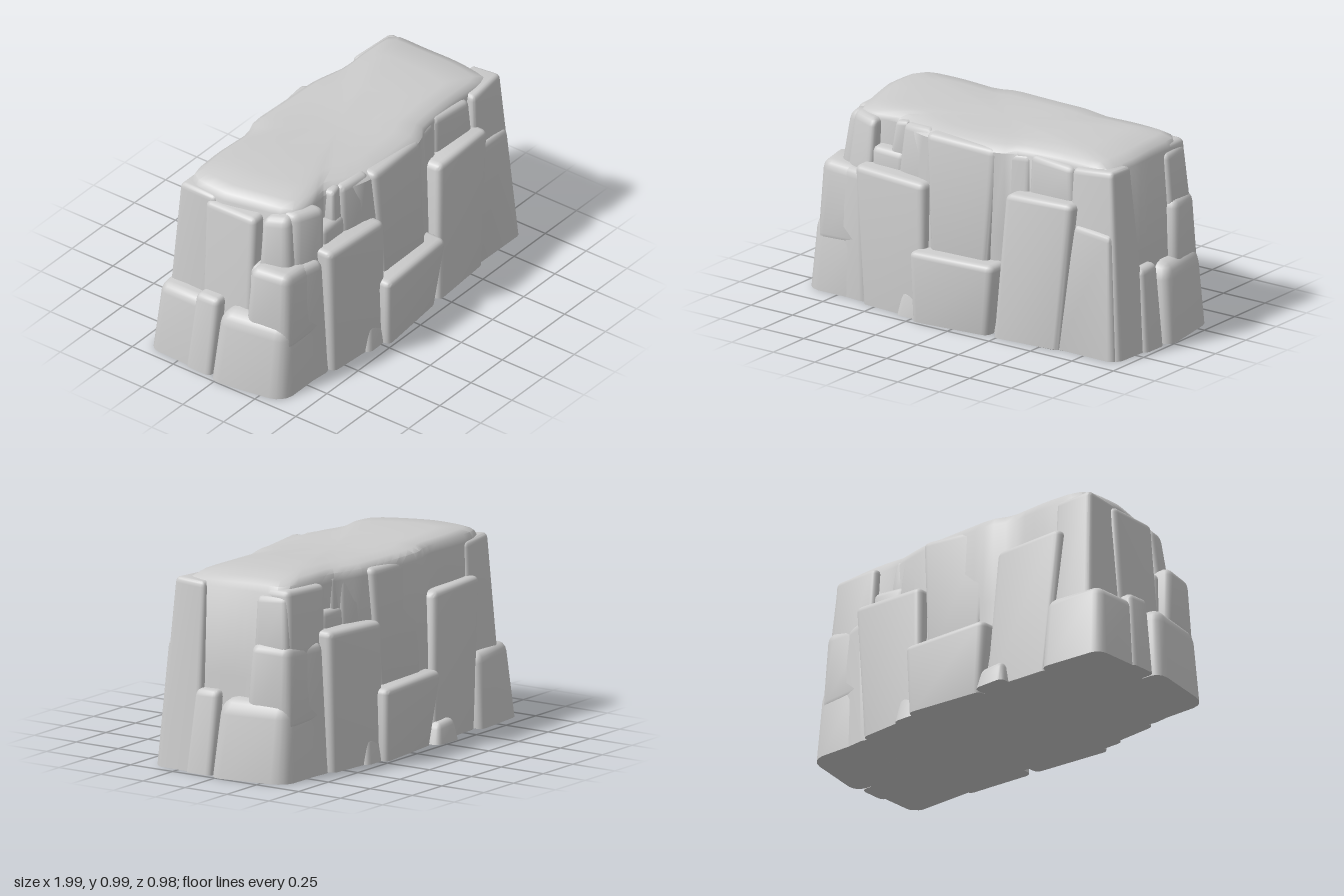
import * as THREE from 'three';
import { RoundedBoxGeometry } from 'three/addons/geometries/RoundedBoxGeometry.js';
import { toCreasedNormals } from 'three/addons/utils/BufferGeometryUtils.js';

const material = new THREE.MeshStandardMaterial({ color: 0xcccccc });
const FLOOR = 0.01;
const lerp = THREE.MathUtils.lerp;

// Smooth position-based wobble, so shared corners stay joined
const wobble = (a, b, c) => Math.sin(a * 7.3 + b * 5.1 + 1.7) * Math.sin(c * 8.7 + a * 3.1 + 0.4);

// Worn stone block: bottom and top footprints [x0, x1, z0, z1] between y0 and y1.
// skewZ slants its front along x, skewX slants its ends along z.
function stone(name, y0, y1, bottom, top, { round = 0.032, skewZ = 0, skewX = 0 } = {}) {
  const low = y0 <= 0 ? -round : y0;
  const w = bottom[1] - bottom[0], h = y1 - low, d = bottom[3] - bottom[2];
  const geo = new RoundedBoxGeometry(w, h, d, 2, Math.min(round, w / 4, h / 4, d / 4));
  const p = geo.attributes.position;
  for (let i = 0; i < p.count; i++) {
    const u = p.getX(i) / w + 0.5, v = p.getY(i) / h + 0.5, s = p.getZ(i) / d + 0.5;
    const x = lerp(lerp(bottom[0], bottom[1], u), lerp(top[0], top[1], u), v) + skewX * (s - 0.5);
    const z = lerp(lerp(bottom[2], bottom[3], s), lerp(top[2], top[3], s), v) + skewZ * (u - 0.5);
    const y = low + v * h;
    p.setXYZ(i,
      x + 0.012 * wobble(y, z, x),
      Math.max(FLOOR, y + 0.015 * wobble(x, z, y)),
      z + 0.012 * wobble(x, y, z));
  }
  const mesh = new THREE.Mesh(toCreasedNormals(geo, 0.7), material);
  mesh.name = name;
  return mesh;
}

// Solid heart of the rock with its gently rolling plateau, lofted from scaled outlines
function core() {
  const outline = new THREE.CatmullRomCurve3([
    [-0.74, 0.2], [-0.71, 0.26], [-0.62, 0.29], [-0.47, 0.27], [-0.38, 0.32], [-0.2, 0.37], [0.18, 0.36],
    [0.3, 0.31], [0.55, 0.3], [0.82, 0.3], [0.85, 0.1], [0.84, -0.1], [0.84, -0.25], [0.8, -0.3],
    [0.62, -0.31], [0.45, -0.31], [0.25, -0.36], [-0.2, -0.38], [-0.32, -0.34],
    [-0.55, -0.35], [-0.75, -0.34], [-0.8, -0.29], [-0.81, -0.1], [-0.77, 0.08],
  ].map(([x, z]) => new THREE.Vector3(x, 0, z)), true, 'catmullrom', 0.2).getSpacedPoints(72).slice(0, 72);
  // [height, x scale, z scale]
  const rings = [[FLOOR, 0, 0], [FLOOR, 1.08, 1.08], [0.5, 1.03, 1.04], [0.925, 0.99, 0.99],
    [0.95, 0.965, 0.955], [0.97, 0.9, 0.87], [0.981, 0.72, 0.65], [0.985, 0.4, 0.35], [0.986, 0, 0]];
  const pos = [], index = [], n = outline.length;
  rings.forEach(([y, sx, sz]) => outline.forEach((q) => {
    const x = q.x * sx, z = q.z * sz;
    const roll = y > 0.94 ? 0.013 * Math.cos((x + 0.62) * 5.2) * Math.cos(z * 4) - 0.03 * z : 0;
    pos.push(x, y + roll, z);
  }));
  for (let r = 0; r < rings.length - 1; r++) {
    for (let i = 0; i < n; i++) {
      const a = r * n + i, b = r * n + (i + 1) % n;
      index.push(a, b, b + n, a, b + n, a + n);
    }
  }
  const geo = new THREE.BufferGeometry();
  geo.setAttribute('position', new THREE.Float32BufferAttribute(pos, 3));
  geo.setIndex(index);
  const mesh = new THREE.Mesh(toCreasedNormals(geo, 0.7), material);
  mesh.name = 'plateauCore';
  return mesh;
}

// One long face with the end to its right; used twice, turned half a circle
function halfCliff(name) {
  const g = new THREE.Group();
  g.name = name;
  g.add(
    // Middle of the long face
    stone('lowMiddleBlock', 0, 0.37, [-0.24, 0.2, 0.1, 0.465], [-0.24, 0.25, 0.1, 0.485], { skewZ: -0.04 }),
    stone('highMiddleBlock', 0.28, 0.945, [-0.17, 0.17, 0.1, 0.41], [-0.21, 0.18, 0.1, 0.38], { skewZ: -0.015 }),
    stone('middleCleftFiller', 0, 0.93, [0.1, 0.36, 0.1, 0.385], [0.14, 0.36, 0.1, 0.33], { skewZ: -0.03 }),
    // Left columns and the small stones over them
    stone('leftColumn', 0, 0.71, [-0.57, -0.2, 0.1, 0.43], [-0.62, -0.2, 0.1, 0.425], { skewZ: 0.02 }),
    stone('leftFootStone', 0, 0.14, [-0.36, -0.22, 0.3, 0.455], [-0.34, -0.2, 0.3, 0.43]),
    stone('leftCapStone', 0.6, 0.945, [-0.41, -0.2, 0.1, 0.36], [-0.4, -0.2, 0.1, 0.34], { skewZ: 0.03 }),
    stone('notchStone', 0.6, 0.8, [-0.57, -0.38, 0.1, 0.34], [-0.57, -0.38, 0.1, 0.33]),
    stone('notchSideStone', 0.75, 0.95, [-0.47, -0.38, 0.1, 0.32], [-0.46, -0.38, 0.1, 0.31]),
    // Right column and its cap
    stone('rightColumn', 0, 0.755, [0.23, 0.6, 0.1, 0.43], [0.28, 0.67, 0.1, 0.41], { skewZ: -0.02 }),
    stone('rightCapStone', 0.65, 0.94, [0.36, 0.63, 0.1, 0.34], [0.36, 0.63, 0.1, 0.315]),
    // Right end face
    stone('endMiddle', 0, 0.92, [0.5, 0.89, -0.14, 0.18], [0.5, 0.84, -0.11, 0.18]),
    stone('endSmallBoulder', 0, 0.42, [0.6, 0.975, 0.05, 0.21], [0.6, 0.925, 0.03, 0.16]),
    stone('endLowBoulder', 0, 0.4, [0.6, 0.98, -0.38, 0.05], [0.6, 0.93, -0.36, 0.01], { round: 0.075, skewX: 0.06 }),
    stone('endMiddleBlock', 0.25, 0.68, [0.6, 0.91, -0.37, -0.11], [0.6, 0.88, -0.35, -0.13], { round: 0.05, skewX: 0.04 }),
    // Stepped stones at the left corner
    stone('cornerLowBlock', 0, 0.38, [-0.925, -0.57, 0.1, 0.365], [-0.895, -0.6, 0.1, 0.345], { round: 0.06, skewZ: 0.08, skewX: 0.05 }),
    stone('cornerMiddleBlock', 0, 0.66, [-0.88, -0.56, 0.1, 0.375], [-0.85, -0.61, 0.1, 0.35], { round: 0.045, skewZ: 0.05 }),
  );
  return g;
}

export function createModel() {
  const rock = new THREE.Group();
  rock.name = 'rockFormation';
  const front = halfCliff('frontCliff');
  const back = halfCliff('backCliff');
  back.rotation.y = Math.PI;

  // Front: tall right corner column with a leaning slab at its foot, upper end stones
  front.add(
    stone('cornerColumn', 0, 0.95, [0.6, 0.955, 0.14, 0.385], [0.64, 0.86, 0.16, 0.33]),
    stone('cornerSlab', 0, 0.64, [0.56, 0.935, 0.15, 0.405], [0.65, 0.885, 0.15, 0.365]),
    stone('endHighBlock', 0.55, 0.925, [0.6, 0.875, -0.34, -0.13], [0.6, 0.855, -0.31, -0.14], { skewX: 0.02 }),
    stone('highLeftStone', 0.3, 0.945, [-0.79, -0.58, 0.1, 0.36], [-0.725, -0.56, 0.1, 0.305], { round: 0.045, skewZ: 0.06 }),
  );
  // Back: slimmer corner column standing on a broad boulder, upper end stones
  back.add(
    stone('cornerColumn', 0, 0.945, [0.6, 0.88, 0.14, 0.41], [0.62, 0.815, 0.13, 0.345]),
    stone('cornerBoulder', 0, 0.39, [0.59, 0.965, 0.1, 0.445], [0.61, 0.92, 0.12, 0.415], { round: 0.05, skewZ: -0.04 }),
    stone('footStone', 0, 0.12, [0.2, 0.38, 0.3, 0.49], [0.23, 0.35, 0.3, 0.46]),
    stone('endHighBlock', 0.55, 0.925, [0.6, 0.83, -0.31, -0.13], [0.6, 0.785, -0.26, -0.13], { round: 0.045, skewX: 0.05 }),
    stone('highLeftStone', 0.3, 0.95, [-0.86, -0.58, 0.1, 0.37], [-0.83, -0.56, 0.1, 0.325], { skewZ: 0.02 }),
  );
  rock.add(core(), front, back);
  return rock;
}
